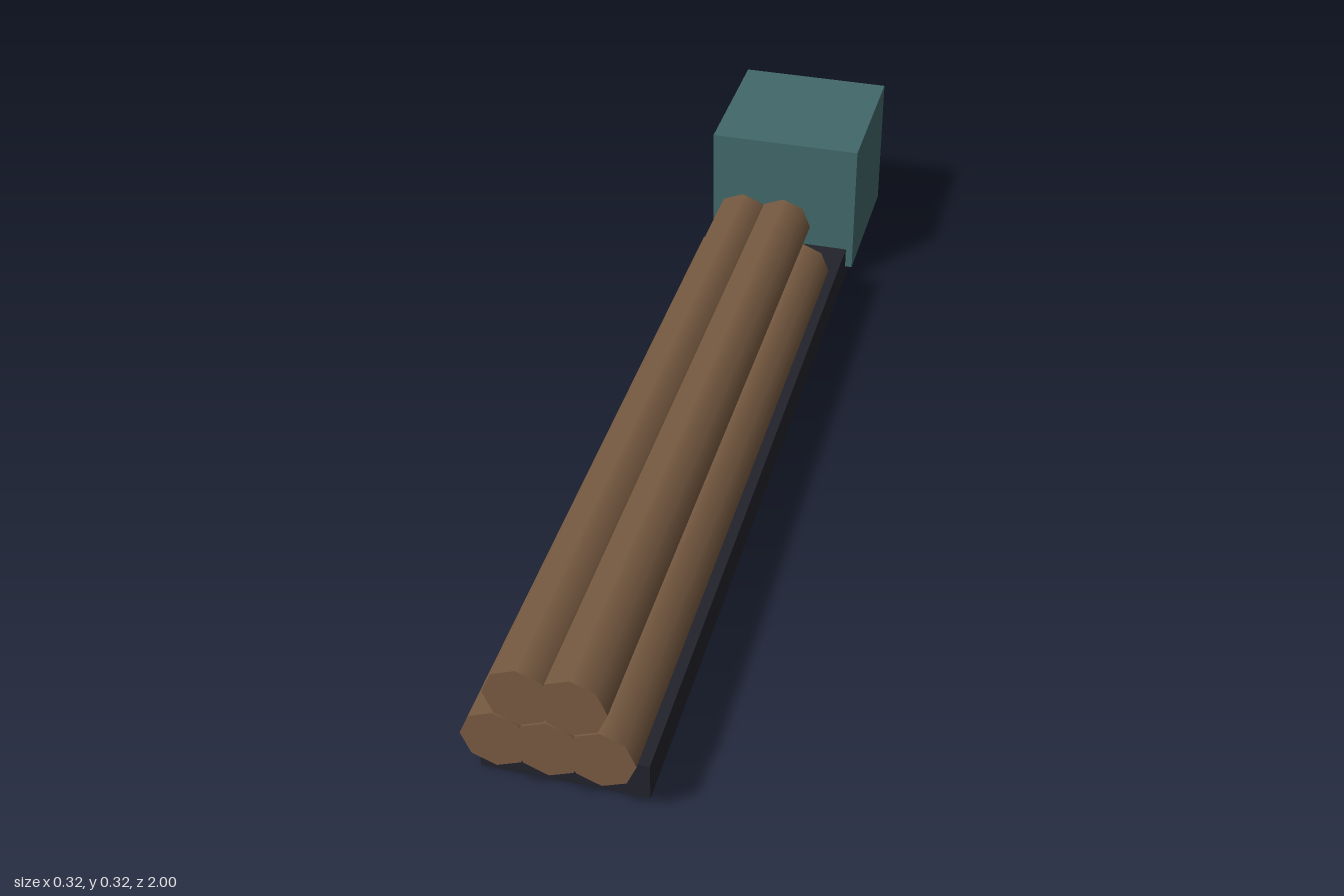
import * as THREE from 'three';

export function createModel() {
  const group = new THREE.Group();
  const mat = (name, color) => Object.assign(new THREE.MeshStandardMaterial({ color }), { name });
  const teal = mat('teal paint', 0x42696b);
  const dark = mat('dark chassis', 0x22222c);
  const wood = mat('brown wood', 0x785b42);

  const add = (name, geometry, material, x, y, z) => {
    const mesh = new THREE.Mesh(geometry, material);
    mesh.name = name;
    mesh.position.set(x, y, z);
    group.add(mesh);
  };

  // Flat bed and cab block at the back end
  add('bed', new THREE.BoxGeometry(0.294, 0.075, 1.77), dark, 0, 0.0375, 0.045);
  add('cab', new THREE.BoxGeometry(0.324, 0.295, 0.324), teal, 0, 0.1775, -0.838);

  // Eight-sided logs stacked three below, two above, lying along z
  const log = new THREE.CylinderGeometry(0.059, 0.059, 1.47, 8).rotateX(Math.PI / 2);
  const rows = [{ y: 0.148, xs: [-0.088, 0, 0.088] }, { y: 0.251, xs: [-0.044, 0.044] }];
  for (const { y, xs } of rows) {
    for (const x of xs) add('log', log, wood, x, y, 0.265);
  }
  return group;
}
